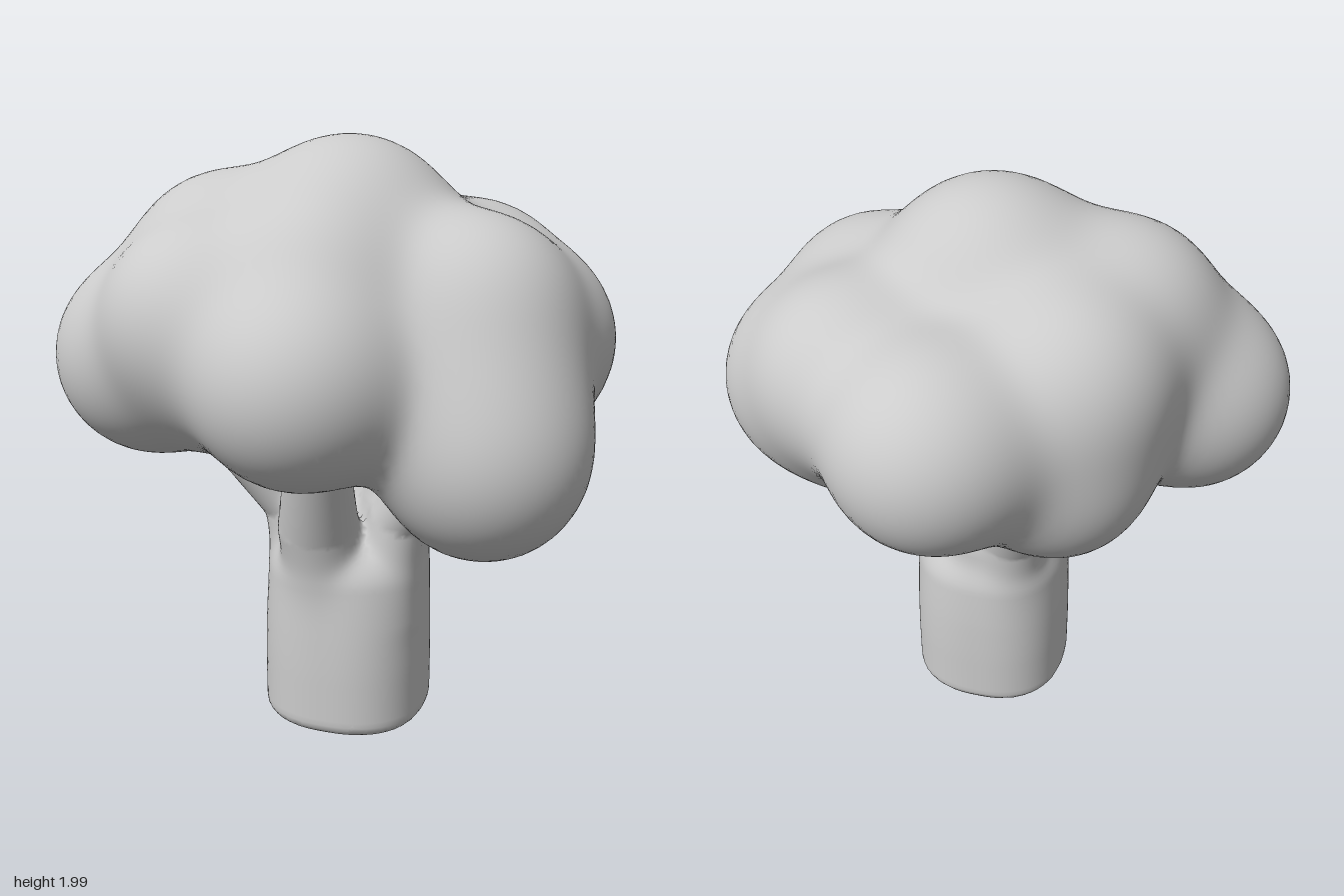
import * as THREE from 'three';

const material = new THREE.MeshStandardMaterial({ color: 0xcccccc });

// Rounded lobes of the crown: x, y, z, radius
const lobes = [
  [0.06, 1.65, 0.05, 0.345],  // top
  [0.0, 1.34, 0.0, 0.37],     // core
  [-0.59, 1.27, 0.2, 0.33],   // far right side
  [-0.36, 1.57, 0.1, 0.3],    // upper right side
  [-0.31, 1.44, 0.44, 0.28],  // front right side
  [-0.28, 1.28, 0.34, 0.25],  // lower front right side
  [0.06, 1.28, 0.55, 0.315],  // front
  [0.05, 1.54, 0.34, 0.28],   // front ridge
  [0.57, 1.04, 0.32, 0.315],  // hanging
  [0.54, 1.24, 0.27, 0.27],   // neck of the hanging lobe
  [0.5, 1.46, 0.19, 0.3],     // above the hanging lobe
  [0.59, 1.33, -0.12, 0.315], // left side
  [0.4, 1.2, -0.14, 0.23],    // lower left side
  [0.4, 1.47, -0.3, 0.3],     // back left
  [0.07, 1.42, -0.55, 0.315], // back
  [-0.26, 1.51, -0.25, 0.3],  // back right
  [-0.24, 1.23, -0.28, 0.29], // lower back right
];

// Branches, each a bent tapering limb: points of x, y, z, radius
const branches = [
  [[-0.07, 0.42, 0.08, 0.12], [-0.12, 0.76, 0.08, 0.12], [-0.32, 1.06, 0.13, 0.15]], // right
  [[0.02, 0.42, 0.18, 0.12], [0.01, 0.73, 0.25, 0.135], [0.06, 1.05, 0.4, 0.1]],     // front
  [[0.18, 0.42, 0.04, 0.13], [0.23, 0.78, 0.03, 0.125], [0.32, 1.08, 0.01, 0.14]],   // left
  [[0.21, 0.42, 0.15, 0.1], [0.26, 0.75, 0.16, 0.09], [0.42, 1.0, 0.24, 0.09]],      // front left
  [[0.0, 0.42, -0.03, 0.13], [-0.04, 0.76, -0.07, 0.13], [-0.13, 1.1, -0.2, 0.13]],  // back right
  [[0.08, 0.42, -0.02, 0.14], [0.08, 0.7, -0.04, 0.13], [0.08, 0.78, -0.04, 0.1]],   // fork
];

// Soft union of several distances
function blend(distances, softness) {
  let sum = 0;
  for (const d of distances) sum += Math.exp(-d / softness);
  return -softness * Math.log(sum);
}

function crownField(x, y, z) {
  return blend(lobes.map(([a, b, c, r]) => Math.hypot(x - a, y - b, z - c) - r), 0.07);
}

// Tapering limb between two points
function limb(x, y, z, [ax, ay, az, ar], [bx, by, bz, br]) {
  const dx = bx - ax, dy = by - ay, dz = bz - az;
  const along = ((x - ax) * dx + (y - ay) * dy + (z - az) * dz) / (dx * dx + dy * dy + dz * dz);
  const t = THREE.MathUtils.clamp(along, 0, 1);
  return Math.hypot(x - ax - dx * t, y - ay - dy * t, z - az - dz * t) - ar - (br - ar) * t;
}

// Slightly square, rounded trunk that swells near the foot, with its branches
function stemField(x, y, z) {
  const bottom = 0.006, top = 0.68;
  const edge = y > 0.34 ? 0.14 : 0.05;
  const radius = 0.285 - 0.16 * Math.max(0, y - 0.2) ** 2;
  const reach = (Math.abs(x - 0.062) ** 2.4 + Math.abs(z - 0.065) ** 2.4) ** (1 / 2.4);
  const side = reach - radius + edge;
  const cap = Math.abs(y - (top + bottom) / 2) - (top - bottom) / 2 + edge;
  const trunk = Math.min(Math.max(side, cap), 0)
    + Math.hypot(Math.max(side, 0), Math.max(cap, 0)) - edge;
  const limbs = branches.map(([a, b, c]) =>
    Math.min(limb(x, y, z, a, b), limb(x, y, z, b, c)));
  return blend([trunk, ...limbs], 0.02);
}

// Smooth mesh over the zero level of a field: one vertex per crossed grid cell
function createSkin(name, field, min, max, step) {
  const n = min.map((m, a) => Math.ceil((max[a] - m) / step) + 1);
  const stride = [1, n[0], n[0] * n[1]];
  const values = new Float32Array(n[0] * n[1] * n[2]);
  const eachPoint = (visit) => {
    for (let k = 0; k < n[2]; k++)
      for (let j = 0; j < n[1]; j++)
        for (let i = 0; i < n[0]; i++) visit([i, j, k], i + j * stride[1] + k * stride[2]);
  };
  eachPoint((p, id) => {
    values[id] = field(...p.map((c, a) => min[a] + c * step));
  });

  // Cell vertices: mean of the crossings on the twelve cell edges
  const positions = [], normals = [], index = [];
  const vertexOf = new Map();
  eachPoint((p, id) => {
    if (p.some((c, a) => c === n[a] - 1)) return;
    const sum = [0, 0, 0];
    let crossings = 0;
    for (let axis = 0; axis < 3; axis++) {
      const u = (axis + 1) % 3, v = (axis + 2) % 3;
      for (let corner = 0; corner < 4; corner++) {
        const du = corner & 1, dv = corner >> 1;
        const from = id + du * stride[u] + dv * stride[v];
        const a = values[from], b = values[from + stride[axis]];
        if ((a < 0) === (b < 0)) continue;
        sum[axis] += a / (a - b);
        sum[u] += du;
        sum[v] += dv;
        crossings++;
      }
    }
    if (!crossings) return;
    const [x, y, z] = p.map((c, a) => min[a] + (c + sum[a] / crossings) * step);
    const e = 0.004;
    const normal = new THREE.Vector3(
      field(x + e, y, z) - field(x - e, y, z),
      field(x, y + e, z) - field(x, y - e, z),
      field(x, y, z + e) - field(x, y, z - e)).normalize();
    vertexOf.set(id, positions.length / 3);
    positions.push(x, y, z);
    normals.push(normal.x, normal.y, normal.z);
  });

  // One quad around every crossed grid edge
  eachPoint((p, id) => {
    for (let axis = 0; axis < 3; axis++) {
      const u = (axis + 1) % 3, v = (axis + 2) % 3;
      if (p[axis] === n[axis] - 1 || p[u] === 0 || p[v] === 0) continue;
      const inside = values[id] < 0;
      if (inside === (values[id + stride[axis]] < 0)) continue;
      const [a, b, c, d] = [id, id - stride[u], id - stride[u] - stride[v], id - stride[v]]
        .map((cell) => vertexOf.get(cell));
      if (inside) index.push(a, b, c, a, c, d);
      else index.push(a, c, b, a, d, c);
    }
  });

  const geometry = new THREE.BufferGeometry();
  geometry.setAttribute('position', new THREE.Float32BufferAttribute(positions, 3));
  geometry.setAttribute('normal', new THREE.Float32BufferAttribute(normals, 3));
  geometry.setIndex(index);
  const mesh = new THREE.Mesh(geometry, material);
  mesh.name = name;
  return mesh;
}

export function createModel() {
  const model = new THREE.Group();
  model.name = 'tree';
  model.add(createSkin('crown', crownField, [-1.05, 0.6, -1.05], [1.05, 2.15, 1.05], 0.028));
  model.add(createSkin('trunkAndBranches', stemField, [-0.6, -0.1, -0.5], [0.65, 1.35, 0.65], 0.02));
  return model;
}
